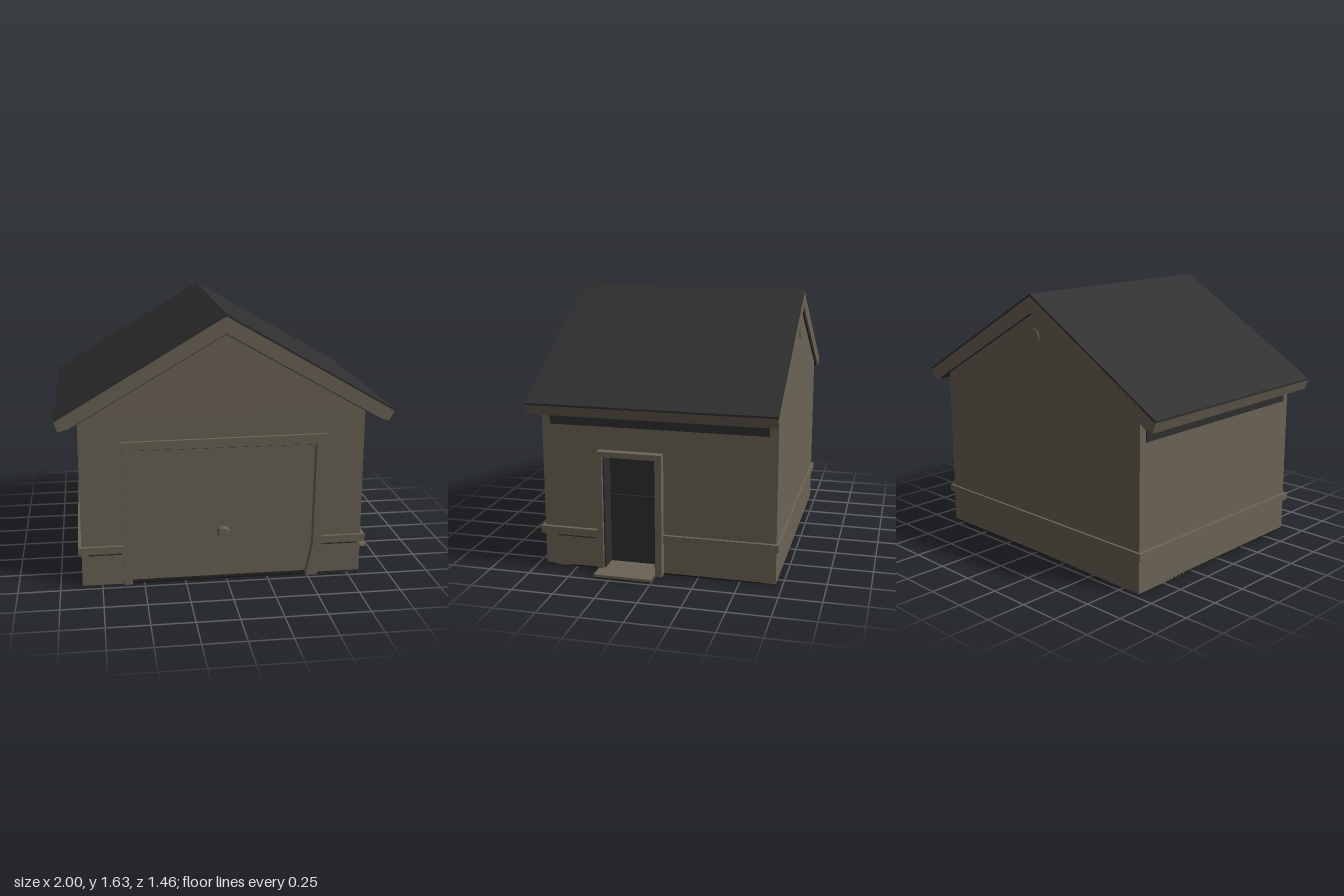
import * as THREE from 'three';

const paint = (name, color) => {
  const m = new THREE.MeshStandardMaterial({ color });
  m.name = name;
  return m;
};

export function createModel() {
  const group = new THREE.Group();
  const wall = paint('taupe wall', 0x6b6355);
  const roofMat = paint('charcoal roof', 0x2e2e2e);
  const under = paint('black underside', 0x1a1a1a);

  const add = (name, geo, mat) => {
    const m = new THREE.Mesh(geo, mat);
    m.name = name;
    group.add(m);
    return m;
  };
  // Box given by its limits on each axis
  const box = (name, [x0, x1], [y0, y1], [z0, z1], mat = wall) =>
    add(name, new THREE.BoxGeometry(x1 - x0, y1 - y0, z1 - z0), mat)
      .position.set((x0 + x1) / 2, (y0 + y1) / 2, (z0 + z1) / 2);
  // Outline in x, y pushed along z
  const slab = (name, pts, z0, z1, mat = wall) => {
    const shape = new THREE.Shape(pts.map(p => new THREE.Vector2(...p)));
    const geo = new THREE.ExtrudeGeometry(shape, { depth: z1 - z0, bevelEnabled: false });
    geo.translate(0, 0, z0);
    return add(name, geo, mat);
  };

  const L = -0.87, R = 0.83, F = 0.70, B = -0.71;
  const gable = [[R, 1.04], [-0.01, 1.54], [L, 1.02]];

  // Walls: the front has the garage opening, the right wall the side door opening
  slab('frontWall', [[L, 0], [-0.57, 0], [-0.57, 0.85], [0.54, 0.85], [0.54, 0], [R, 0], ...gable], 0.6, F);
  slab('backWall', [[L, 0], [R, 0], ...gable], B, -0.62);
  box('leftWall', [L, L + 0.08], [0, 1.03], [-0.62, 0.6]);
  const side = slab('rightWall', [[-0.6, 0], [-0.32, 0], [-0.32, 0.715], [0, 0.715], [0, 0], [0.62, 0], [0.62, 1.04], [-0.6, 1.04]], 0, 0.12);
  side.rotation.y = Math.PI / 2;
  side.position.x = R - 0.12;
  box('floor', [L, R], [0, 0.008], [B, F], under);

  // Garage door with frame and handle
  box('garageDoor', [-0.58, 0.55], [0.01, 0.86], [0.62, 0.67]);
  box('garageDoorTopGap', [-0.57, 0.54], [0.825, 0.845], [0.668, 0.676], roofMat);
  slab('garageLeftJamb', [[-0.62, 0], [-0.57, 0], [-0.57, 0.85], [-0.62, 0.89]], 0.66, 0.72);
  slab('garageRightJamb', [[0.49, 0], [0.56, 0], [0.585, 0.2], [0.595, 0.9], [0.54, 0.85], [0.53, 0.2]], 0.66, 0.72);
  slab('garageLintel', [[-0.57, 0.84], [0.54, 0.84], [0.595, 0.9], [-0.62, 0.89], [-0.62, 0.84]], 0.66, 0.72);
  const handle = add('garageHandle', new THREE.CylinderGeometry(0.035, 0.042, 0.04, 8), wall);
  handle.rotation.set(Math.PI / 2, Math.PI / 8, 0);
  handle.position.set(-0.015, 0.29, 0.685);

  // Side door, set back in its frame
  box('sideDoor', [0.72, 0.745], [0.02, 0.72], [-0.01, 0.33], roofMat);
  box('sideDoorRail', [0.745, 0.755], [0.435, 0.45], [0.0, 0.32], roofMat);
  box('sideDoorFrontLining', [0.745, 0.86], [0.02, 0.71], [0.312, 0.32], roofMat);
  box('sideDoorRearLining', [0.745, 0.86], [0.02, 0.71], [0, 0.008], roofMat);
  box('sideDoorFrontJamb', [0.8, 0.88], [0, 0.745], [0.32, 0.352]);
  box('sideDoorRearJamb', [0.8, 0.88], [0, 0.745], [-0.04, 0]);
  box('sideDoorLintel', [0.8, 0.88], [0.712, 0.745], [0, 0.32]);
  box('sideDoorStep', [0.74, 0.98], [0.006, 0.022], [0, 0.35]);
  box('stepUnderside', [0.83, 0.98], [0, 0.006], [0, 0.35], under);

  // Moulding round the walls
  const band = [0.205, 0.25];
  box('frontBandLeft', [0.58, 0.855], band, [0.68, 0.72]);
  box('frontBandRight', [-0.89, -0.62], band, [0.68, 0.72]);
  box('backBand', [-0.89, 0.855], band, [-0.725, -0.69]);
  box('leftBand', [-0.89, -0.85], band, [-0.725, 0.72]);
  box('rightBandFront', [0.81, 0.855], band, [0.352, 0.72]);
  box('rightBandRear', [0.81, 0.85], band, [-0.725, -0.04]);
  // Dark lines under the moulding
  box('bandLineFrontLeft', [0.59, 0.81], [0.19, 0.207], [0.698, 0.704], roofMat);
  box('bandLineFrontRight', [-0.83, -0.63], [0.19, 0.207], [0.698, 0.704], roofMat);
  box('bandLineSide', [0.828, 0.834], [0.19, 0.207], [0.38, 0.62], roofMat);

  // Round vent in the back gable
  const vent = add('gableVent', new THREE.CylinderGeometry(0.055, 0.055, 0.012, 20), wall);
  vent.rotation.x = Math.PI / 2;
  vent.position.set(-0.01, 1.37, B);

  // Roof: trim core, dark covering and dark soffit
  const a = -0.01;
  slab('roofTrim', [[-1, 1.03], [-0.98, 0.97], [-0.92, 0.985], [a, 1.515], [0.92, 0.985], [0.97, 0.97], [1, 1.03], [a, 1.615]], -0.73, 0.73);
  slab('roofCovering', [[-1, 1.03], [a, 1.615], [1, 1.03], [1, 1.042], [a, 1.628], [-1, 1.042]], -0.732, 0.732, roofMat);
  slab('soffit', [[-0.92, 0.979], [a, 1.509], [0.92, 0.979], [0.92, 0.985], [a, 1.515], [-0.92, 0.985]], -0.72, 0.72, roofMat);

  // Dark strips on the side walls under the eaves
  box('rightEaveStrip', [0.828, 0.835], [0.885, 1.03], [-0.66, 0.65], roofMat);
  box('leftEaveStrip', [-0.875, -0.868], [0.885, 1.01], [-0.66, 0.65], roofMat);

  return group;
}
